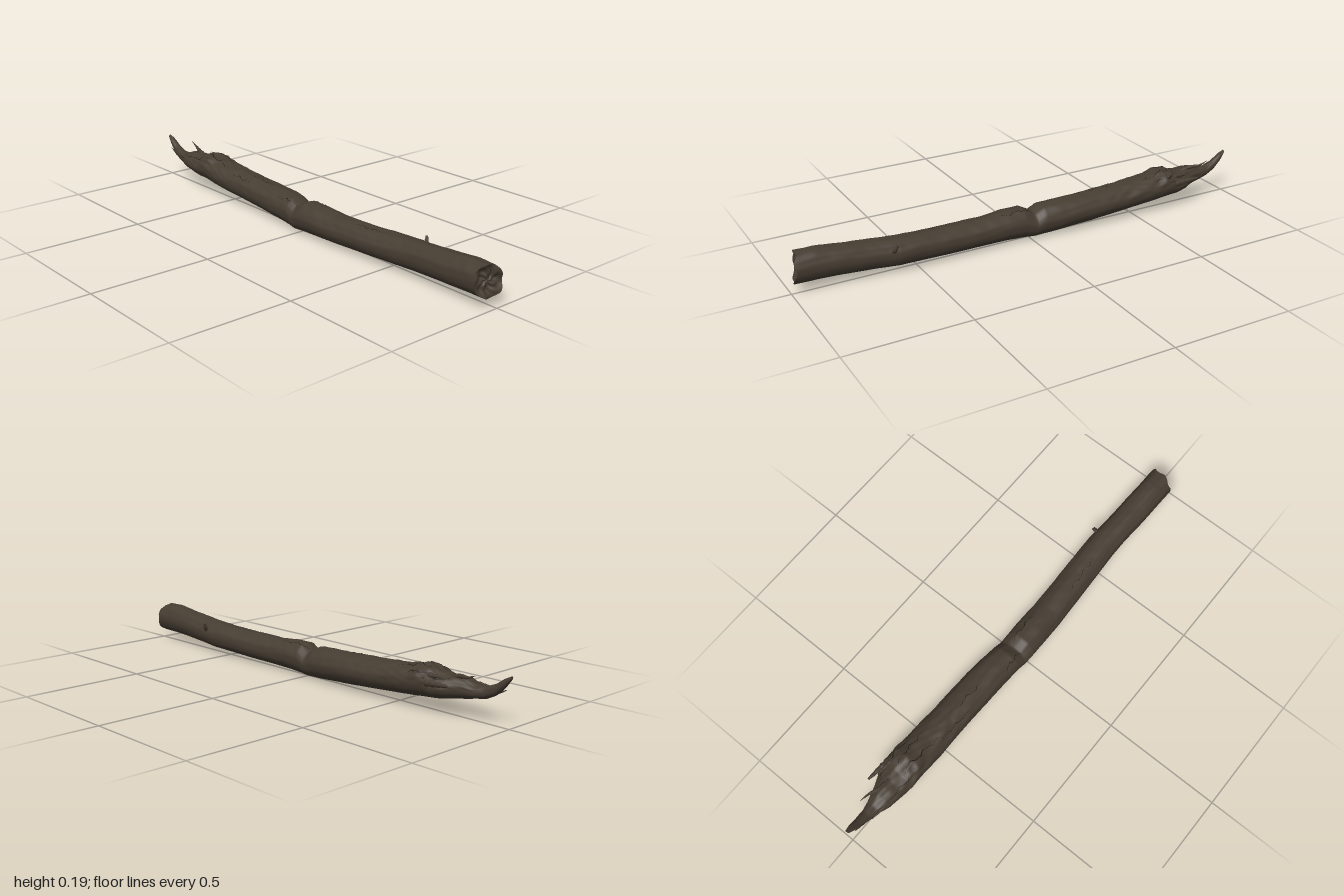
import * as THREE from 'three';

// Cross-sections along the log: x, bottom, top, back z, front z
const SECTIONS = [
  [-1, 0.178, 0.192, -0.004, 0.01], [-0.975, 0.145, 0.18, -0.012, 0.016],
  [-0.94, 0.112, 0.155, -0.016, 0.02], [-0.9, 0.092, 0.138, -0.02, 0.026],
  [-0.86, 0.085, 0.135, -0.03, 0.034], [-0.82, 0.076, 0.15, -0.04, 0.05],
  [-0.78, 0.07, 0.155, -0.056, 0.056], [-0.75, 0.065, 0.153, -0.072, 0.06],
  [-0.705, 0.058, 0.158, -0.083, 0.065], [-0.68, 0.056, 0.172, -0.084, 0.065],
  [-0.64, 0.052, 0.18, -0.085, 0.065], [-0.6, 0.047, 0.168, -0.083, 0.066],
  [-0.53, 0.041, 0.158, -0.081, 0.067], [-0.42, 0.033, 0.149, -0.078, 0.065],
  [-0.28, 0.022, 0.144, -0.076, 0.066], [-0.13, 0.011, 0.138, -0.068, 0.069],
  [-0.06, 0.006, 0.133, -0.06, 0.073], [-0.02, 0.004, 0.11, -0.056, 0.077],
  [0.025, 0.006, 0.136, -0.053, 0.08], [0.1, 0.01, 0.136, -0.052, 0.081],
  [0.2, 0.013, 0.127, -0.052, 0.08], [0.4, 0.017, 0.13, -0.056, 0.071],
  [0.58, 0.023, 0.138, -0.06, 0.064], [0.66, 0.028, 0.145, -0.051, 0.065],
  [0.8, 0.035, 0.156, -0.045, 0.073], [0.9, 0.038, 0.165, -0.041, 0.076],
  [0.972, 0.038, 0.163, -0.039, 0.078],
];
const X0 = -1, X1 = 0.972, TAU = Math.PI * 2;
const clamp = THREE.MathUtils.clamp, smooth = THREE.MathUtils.smoothstep;

function sectionAt(x) {
  let i = 0;
  while (i < SECTIONS.length - 2 && x > SECTIONS[i + 1][0]) i++;
  const a = SECTIONS[i], b = SECTIONS[i + 1];
  const t = clamp((x - a[0]) / (b[0] - a[0]), 0, 1);
  return a.map((v, k) => v + (b[k] - v) * t);
}

// Bark relief: long grain everywhere, deep torn ridges on the upper left
function relief(x, a) {
  const up = smooth(Math.sin(a), -0.3, 0.6);
  const torn = up * smooth(-x, 0.25, 0.6);
  const grain = Math.sin(a * 7 + Math.sin(x * 6) * 1.6) * 0.6 + Math.sin(a * 13 - x * 5 + Math.sin(x * 17)) * 0.4;
  const lumps = Math.sin(x * 19 + a * 2) * 0.5 + Math.sin(x * 43 - a * 3) * 0.3 + Math.sin(x * 87 + a * 5) * 0.2;
  const splinter = Math.sin(a * 11 + Math.sin(x * 24) * 1.2) * Math.sin(x * 61 + a * 4);
  return (0.008 + 0.017 * up) * (grain + lumps) + 0.05 * torn * splinter;
}

// Point on the bark; a = 0 faces front, a = PI / 2 faces up
function surface(x, a, lift = 0) {
  const [, yb, yt, zb, zf] = sectionAt(x);
  const k = 1 + relief(x, a);
  const y = (yb + yt) / 2 + ((yt - yb) / 2 * k + lift) * Math.sin(a);
  const z = (zb + zf) / 2 + ((zf - zb) / 2 * k + lift) * Math.cos(a);
  // Slanted, uneven break at the right end
  const end = -0.25 * (z - 0.015) + 0.008 * smooth(-y, -0.11, -0.06) + 0.005 * Math.sin(a * 5 + 1);
  return new THREE.Vector3(x + end * smooth(x, 0.86, X1), y, z);
}

// Mesh geometry from closed rings of equal length
function loft(rings) {
  const n = rings[0].length, pos = [], idx = [];
  rings.forEach(r => r.forEach(p => pos.push(p.x, p.y, p.z)));
  for (let i = 0; i < rings.length - 1; i++) for (let j = 0; j < n; j++) {
    const k = (j + 1) % n, a = i * n + j, b = i * n + k, c = a + n, d = b + n;
    idx.push(a, c, d, a, d, b);
  }
  const g = new THREE.BufferGeometry();
  g.setAttribute('position', new THREE.Float32BufferAttribute(pos, 3));
  g.setIndex(idx);
  g.computeVertexNormals();
  return g;
}

export function createModel() {
  const group = new THREE.Group();
  const bark = new THREE.MeshStandardMaterial({ name: 'bark brown', color: 0x463d32 });
  const crevice = new THREE.MeshStandardMaterial({ name: 'crevice dark brown', color: 0x211c17, side: THREE.DoubleSide });
  const add = (name, geo, mat = bark) => {
    const m = new THREE.Mesh(geo, mat);
    m.name = name;
    group.add(m);
  };

  const SIDES = 56, STEPS = 300;
  const ring = x => Array.from({ length: SIDES }, (_, j) => surface(x, j / SIDES * TAU));

  // Log body
  const rings = [];
  for (let i = 0; i <= STEPS; i++) rings.push(ring(X0 + (X1 - X0) * i / STEPS));
  add('logBody', loft(rings));

  // Broken end, dished with rough wood
  const rim = rings[STEPS];
  const mid = rim.reduce((s, p) => s.add(p), new THREE.Vector3()).divideScalar(SIDES);
  const capRings = [];
  for (let i = 0; i <= 10; i++) {
    const t = i / 10;
    capRings.push(rim.map((p, j) => {
      const a = j / SIDES * TAU, q = p.clone().lerp(mid, t);
      q.x += Math.sin(t * Math.PI) * (0.005 * Math.sin(a * 3 + t * 5) + 0.003 * Math.sin(a * 7 - t * 9)) - 0.009 * smooth(t, 0, 0.5);
      return q;
    }));
  }
  add('brokenEnd', loft(capRings));

  // Closed tip of the long splinter
  const tip = rings[0];
  const tipMid = tip.reduce((s, p) => s.add(p), new THREE.Vector3()).divideScalar(SIDES);
  add('splinterTip', loft([tip.map(() => tipMid), tip]));

  // Tapering slivers and the small side twig
  function sliver(name, pts, radius, endScale = 0.05) {
    const curve = new THREE.CatmullRomCurve3(pts.map(p => new THREE.Vector3(...p)));
    const n = 14, s = 8, g = new THREE.TubeGeometry(curve, n, radius, s);
    const p = g.attributes.position, v = new THREE.Vector3();
    for (let i = 0; i <= n; i++) {
      const c = curve.getPointAt(i / n);
      const k = (1 - (1 - endScale) * (i / n) ** 1.5) * (1 + 0.15 * Math.sin(i * 2.3));
      for (let j = 0; j <= s; j++) {
        const id = i * (s + 1) + j;
        v.fromBufferAttribute(p, id).sub(c).multiplyScalar(k).add(c);
        p.setXYZ(id, v.x, v.y, v.z);
      }
    }
    g.computeVertexNormals();
    add(name, g);
  }
  sliver('raisedSliver', [[-0.74, 0.142, -0.012], [-0.8, 0.158, -0.02], [-0.84, 0.163, -0.034], [-0.88, 0.178, -0.038]], 0.011);
  sliver('backSliver', [[-0.66, 0.12, -0.07], [-0.73, 0.125, -0.076], [-0.795, 0.13, -0.082]], 0.015, 0.3);
  sliver('upperBackSliver', [[-0.64, 0.14, -0.055], [-0.7, 0.148, -0.057], [-0.76, 0.15, -0.062]], 0.014);
  sliver('frontSliver', [[-0.74, 0.12, 0.035], [-0.83, 0.128, 0.036], [-0.9, 0.13, 0.032]], 0.014);
  sliver('lowerSliver', [[-0.85, 0.105, 0.005], [-0.92, 0.115, 0.012], [-0.975, 0.136, 0.014]], 0.014);
  sliver('sideTwig', [[0.61, 0.1, -0.045], [0.605, 0.116, -0.06], [0.6, 0.136, -0.066]], 0.009, 0.5);

  // Thin dark cracks lying on the bark: start x, end x, start angle, end angle, width
  const cracks = [
    [-0.84, -0.62, 0.75, 0.95, 0.005], [-0.74, -0.5, 1.3, 1.15, 0.005],
    [-0.8, -0.56, 2.3, 2.5, 0.006], [-0.7, -0.52, 1.8, 2.0, 0.005],
    [-0.76, -0.64, 2.9, 2.75, 0.005], [-0.5, -0.32, 0.9, 0.8, 0.003],
    [-0.4, -0.18, 1.5, 1.35, 0.003], [-0.14, 0.0, 0.75, 1.2, 0.004],
    [-0.03, 0.16, 1.9, 2.1, 0.004], [0.3, 0.5, 1.2, 1.3, 0.003],
  ];
  cracks.forEach(([xa, xb, aa, ab, w], c) => {
    const n = 40, pos = [], idx = [];
    for (let i = 0; i <= n; i++) {
      const t = i / n, x = xa + (xb - xa) * t;
      const a = aa + (ab - aa) * t + 0.07 * Math.sin(t * 19 + c) + 0.03 * Math.sin(t * 47 + c * 2);
      const half = w * Math.sin(Math.PI * t) * (0.7 + 0.3 * Math.sin(t * 31 + c)) / 0.13;
      for (const side of [-1, 1]) pos.push(...surface(x, a + side * half, 0.0012).toArray());
      if (i < n) idx.push(2 * i, 2 * i + 2, 2 * i + 3, 2 * i, 2 * i + 3, 2 * i + 1);
    }
    const g = new THREE.BufferGeometry();
    g.setAttribute('position', new THREE.Float32BufferAttribute(pos, 3));
    g.setIndex(idx);
    g.computeVertexNormals();
    add('barkCrack', g, crevice);
  });

  return group;
}
